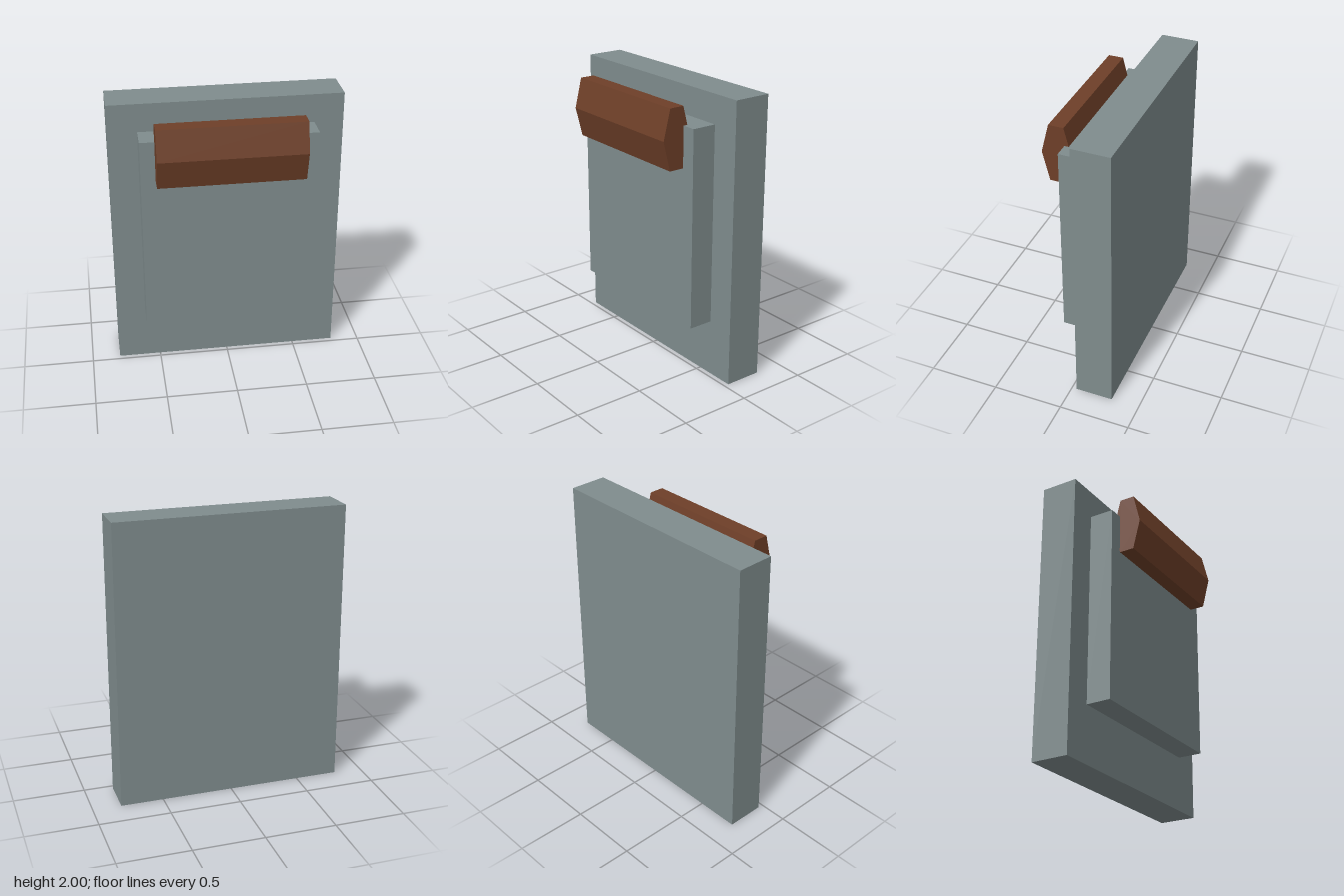
import * as THREE from 'three';

export function createModel() {
  const model = new THREE.Group();
  const stone = new THREE.MeshStandardMaterial({ color: 0x7f8c8d, flatShading: true });
  const wood = new THREE.MeshStandardMaterial({ color: 0x6e3f28, flatShading: true });

  const add = (name, geometry, material) => {
    const mesh = new THREE.Mesh(geometry, material);
    mesh.name = name;
    model.add(mesh);
    return mesh;
  };

  // Upright slab at the back
  add('backSlab', new THREE.BoxGeometry(1.6, 2, 0.265), stone).position.set(0, 1, -0.1675);

  // Smaller raised panel on its front
  add('raisedPanel', new THREE.BoxGeometry(1.2, 1.4, 0.175), stone).position.set(0, 1.1, 0.0525);

  // Six-sided bar across the top of the panel: profile in (z, y), extruded along x
  const profile = new THREE.Shape([
    [0.3, 1.722], [0.248, 1.93], [0.143, 1.93],
    [0.09, 1.722], [0.143, 1.515], [0.248, 1.515],
  ].map(([z, y]) => new THREE.Vector2(z, y)));
  const bar = new THREE.ExtrudeGeometry(profile, { depth: 1, bevelEnabled: false });
  bar.rotateY(-Math.PI / 2).translate(0.5, 0, 0);
  add('crossBar', bar, wood);

  return model;
}
